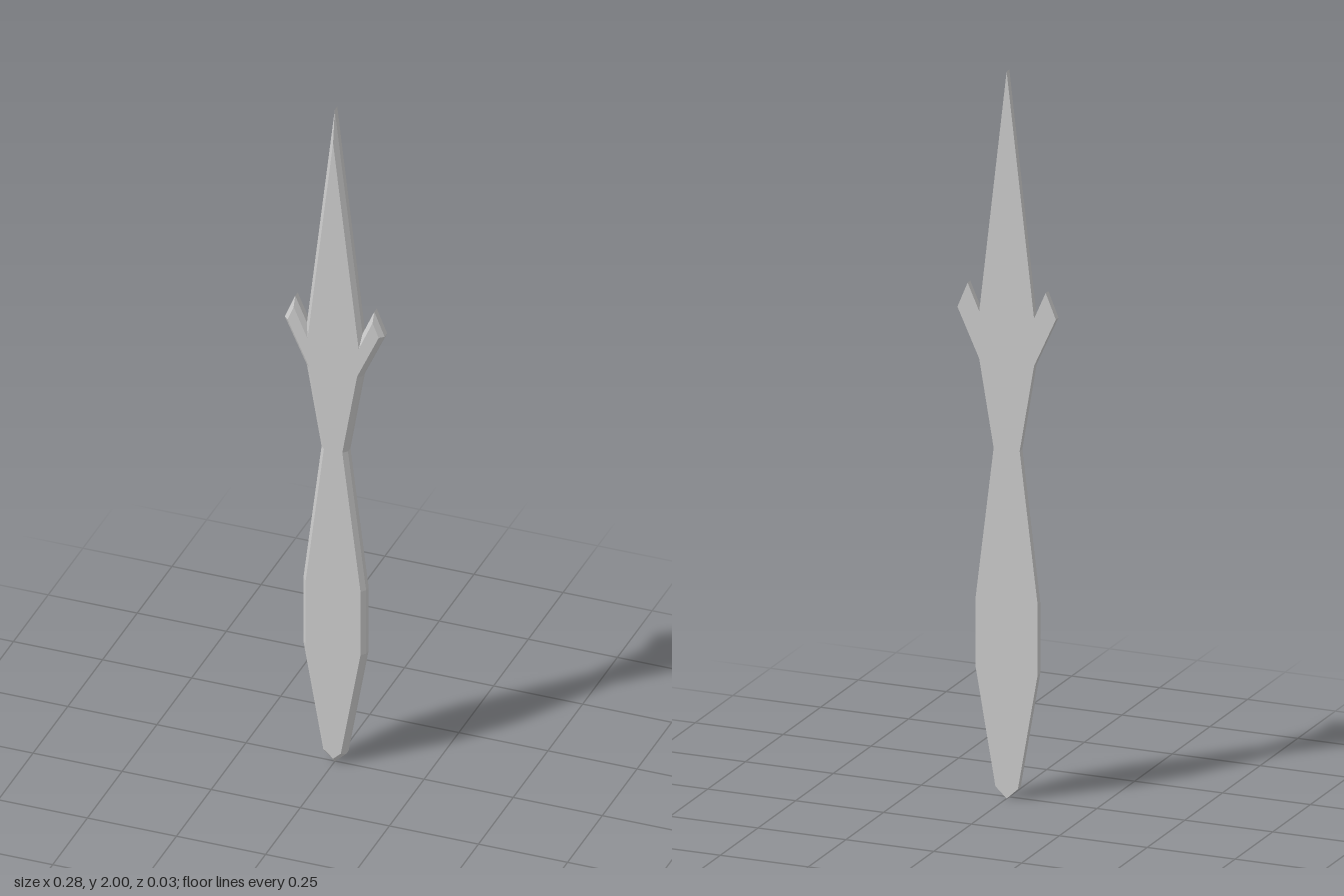
import * as THREE from 'three';

// Right half of the blade outline, from the butt up to just below the tip
const HALF = [
  [0.032, 0.03], [0.088, 0.35], [0.088, 0.545], [0.037, 0.96], [0.078, 1.2],
  [0.14, 1.335], [0.111, 1.405], [0.078, 1.33],
];
const BACK = -0.016, SHOULDER = 0.002, FRONT = 0.014, BEVEL = 0.011;

// Whole outline, counter-clockwise seen from the front
function fullOutline() {
  const right = HALF.map(([x, y]) => new THREE.Vector2(x, y));
  const left = HALF.map(([x, y]) => new THREE.Vector2(-x, y)).reverse();
  return [new THREE.Vector2(0, 0), ...right, new THREE.Vector2(0, 2), ...left];
}

// Moves every edge inwards by d, with mitred corners
function inset(points, d) {
  const n = points.length;
  const normal = (a, b) => {
    const e = b.clone().sub(a).normalize();
    return new THREE.Vector2(-e.y, e.x);
  };
  return points.map((p, i) => {
    const n1 = normal(points[(i + n - 1) % n], p);
    const n2 = normal(p, points[(i + 1) % n]);
    return p.clone().addScaledVector(n1.clone().add(n2), d / (1 + n1.dot(n2)));
  });
}

function bladeGeometry() {
  const outer = fullOutline();
  const inner = inset(outer, BEVEL);
  const n = outer.length;
  const rings = [[outer, BACK], [outer, SHOULDER], [inner, FRONT]];
  const positions = rings.flatMap(([ring, z]) => ring.flatMap((p) => [p.x, p.y, z]));
  const index = [];

  // Side wall, then the bevel on the front edge
  for (let r = 0; r < 2; r++) {
    for (let i = 0; i < n; i++) {
      const j = (i + 1) % n;
      const a = r * n + i, b = r * n + j;
      index.push(a, b, b + n, a, b + n, a + n);
    }
  }
  // Flat back and front faces
  for (const [a, b, c] of THREE.ShapeUtils.triangulateShape(outer, [])) index.push(a, c, b);
  for (const [a, b, c] of THREE.ShapeUtils.triangulateShape(inner, [])) {
    index.push(a + 2 * n, b + 2 * n, c + 2 * n);
  }

  const indexed = new THREE.BufferGeometry();
  indexed.setAttribute('position', new THREE.Float32BufferAttribute(positions, 3));
  indexed.setIndex(index);
  const geometry = indexed.toNonIndexed();
  geometry.computeVertexNormals();
  return geometry;
}

export function createModel() {
  const group = new THREE.Group();
  group.name = 'throwingKnife';
  const material = new THREE.MeshStandardMaterial({ color: 0xcccccc, flatShading: true });
  const blade = new THREE.Mesh(bladeGeometry(), material);
  blade.name = 'blade';
  group.add(blade);
  return group;
}
